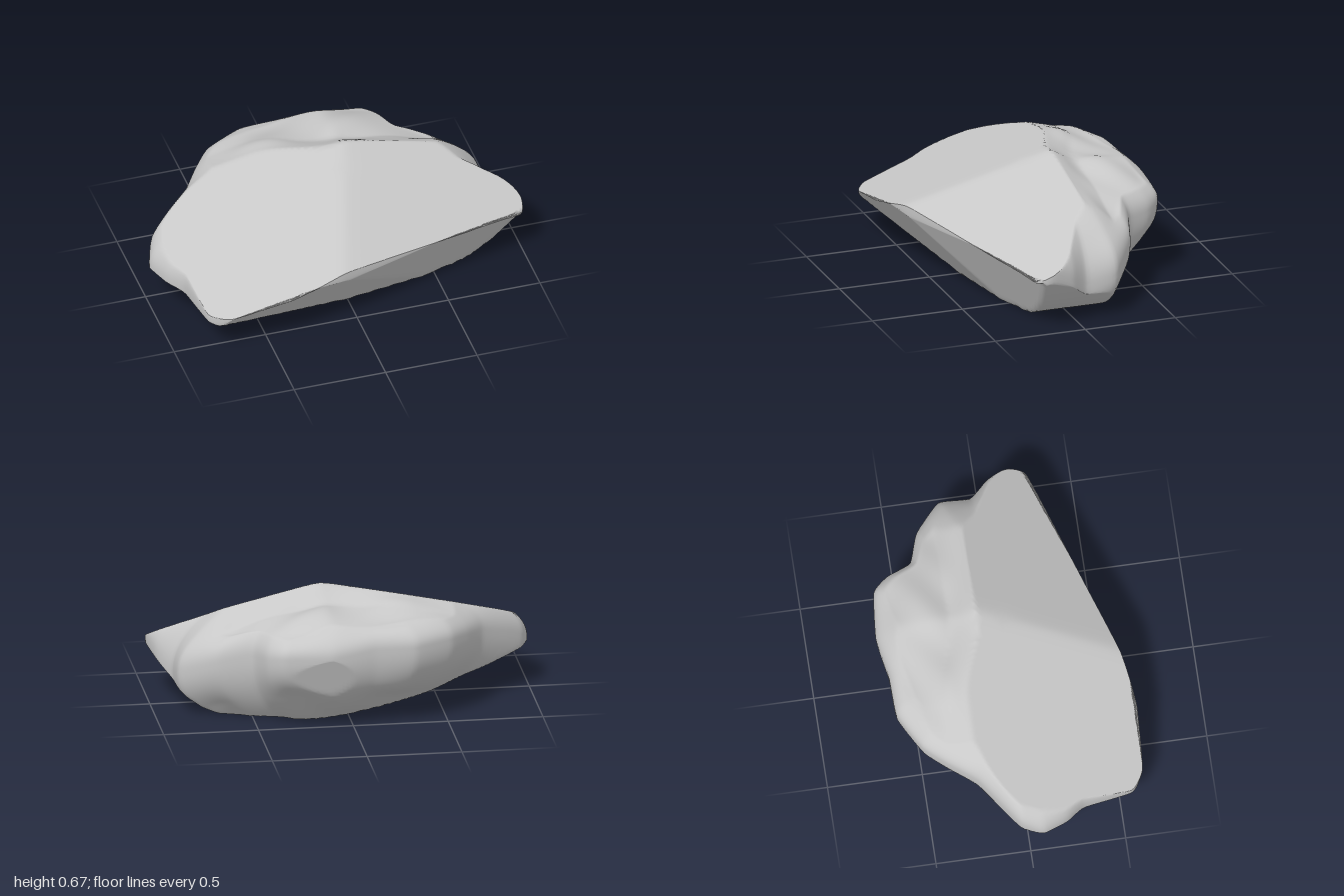
import * as THREE from 'three';
import { mergeVertices } from 'three/addons/utils/BufferGeometryUtils.js';

// Widest outline of the boulder: x, rim height, z
const OUTLINE = [
  [-1, 0.24, 0.07], [-0.96, 0.30, -0.04], [-0.88, 0.34, -0.11], [-0.72, 0.40, -0.24],
  [-0.62, 0.43, -0.38], [-0.52, 0.45, -0.50], [-0.32, 0.45, -0.61], [-0.1, 0.45, -0.62],
  [0.13, 0.42, -0.655], [0.38, 0.42, -0.63], [0.46, 0.40, -0.55], [0.52, 0.38, -0.42],
  [0.70, 0.33, -0.36], [0.88, 0.24, -0.22], [0.89, 0.19, -0.05], [0.96, 0.27, 0.05],
  [1, 0.33, 0.17], [0.97, 0.28, 0.26], [0.6, 0.34, 0.38], [0.25, 0.36, 0.49],
  [-0.1, 0.375, 0.60], [-0.25, 0.36, 0.63], [-0.4, 0.33, 0.648], [-0.72, 0.25, 0.63],
  [-0.83, 0.23, 0.56], [-0.88, 0.25, 0.3], [-0.95, 0.24, 0.2],
];
const AROUND = 240;
const RINGS = 44;
const { smoothstep, lerp } = THREE.MathUtils;

// Long weathered lumps, faded out on the smooth front and at the rim
function lumps(x, z, s, phase) {
  const fade = Math.min(1, (1 - s) * 8) * smoothstep(0.35 * Math.abs(x) - z, 0.1, 0.35);
  return fade * (0.011 * Math.sin(4 * x + 15 * z + phase)
    + 0.009 * Math.sin(9 * x - 11 * z + 2 * phase)
    + 0.004 * Math.sin(17 * x + 23 * z + phase));
}

// Two flat slopes meeting in a faint, slightly rounded crease
function slopes(x, z) {
  const right = 0.645 - 0.24 * x - 0.476 * z;
  const left = 0.607 + 0.21 * x - 0.339 * z;
  return 0.5 * (right + left - Math.hypot(right - left, 0.015));
}

// Upper side: the slopes end at a crest, with a short drop and a bench behind it
function topHeight(x, z, rim, s) {
  const left = smoothstep(-x, -0.1, 0.35);
  const crest = lerp(-0.13, -0.24, left);
  const behind = Math.max(0, crest - z);
  const drop = lerp(1, 0.5, left) * (0.5 * Math.min(behind, 0.14) + 0.1 * Math.max(0, behind - 0.14));
  const bump = lumps(x, z, s, 0.6);
  const shoulder = rim + Math.max(0.28, 0.75 - rim) * Math.pow(1 - s, 0.43) + bump;
  return Math.min(shoulder, slopes(x, Math.max(z, crest)) - drop + bump * smoothstep(behind, 0, 0.15));
}

// Underside: rounded undercut, flat base and broken planes around it
function bottomHeight(x, z, rim, s) {
  return Math.max(
    0,
    rim - 0.59 * Math.pow(1 - s, 0.43) + lumps(x, z, s, 2.4),
    -0.24 * x, // left
    (z - 0.335 + 0.163 * x) / 0.75, // front, left part
    (z - 0.405 + 0.32 * x) / 0.5, // front, right part
    1.5 * Math.pow(Math.max(0, x - 0.65), 1.6), // right
    0.9 * (-z - 0.37), // back, low
    0.22 + 3 * (-z - 0.59), // back, high
  );
}

function boulderGeometry() {
  const curve = new THREE.CatmullRomCurve3(
    OUTLINE.map((p) => new THREE.Vector3(...p)), true, 'catmullrom', 0.2);
  const rim = curve.getSpacedPoints(AROUND).slice(0, AROUND);
  // Softened outline, so that notches in the rim fade towards the middle
  const soft = rim.map((_, j) => {
    const sum = new THREE.Vector3();
    for (let o = -14; o <= 14; o++) sum.add(rim[(j + o + AROUND) % AROUND]);
    return sum.divideScalar(29);
  });
  const positions = [];
  const index = [];
  const p = new THREE.Vector3();

  for (const upper of [true, false]) {
    const start = positions.length / 3;
    for (let i = 0; i <= RINGS; i++) {
      const s = 1 - Math.pow(1 - i / RINGS, 2);
      for (let j = 0; j < AROUND; j++) {
        p.lerpVectors(soft[j], rim[j], s * s * s);
        const x = p.x * s, z = p.z * s;
        const top = topHeight(x, z, p.y, s);
        const y = upper || i === RINGS ? top : Math.min(bottomHeight(x, z, p.y, s), top);
        positions.push(x, y, z);
      }
    }
    for (let i = 0; i < RINGS; i++) {
      for (let j = 0; j < AROUND; j++) {
        const k = (j + 1) % AROUND;
        const a = start + i * AROUND + j, d = start + i * AROUND + k;
        const b = a + AROUND, c = d + AROUND;
        if (upper) index.push(a, c, b);
        else index.push(a, b, c);
        if (i > 0) {
          if (upper) index.push(a, d, c);
          else index.push(a, c, d);
        }
      }
    }
  }

  const geometry = new THREE.BufferGeometry();
  geometry.setAttribute('position', new THREE.Float32BufferAttribute(positions, 3));
  geometry.setIndex(index);
  const merged = mergeVertices(geometry, 1e-5);
  merged.computeVertexNormals();
  return merged;
}

export function createModel() {
  const group = new THREE.Group();
  group.name = 'rock';
  const stone = new THREE.MeshStandardMaterial({ color: 0xc8c8c8 });
  stone.name = 'grey stone';
  const boulder = new THREE.Mesh(boulderGeometry(), stone);
  boulder.name = 'boulder';
  group.add(boulder);
  return group;
}
